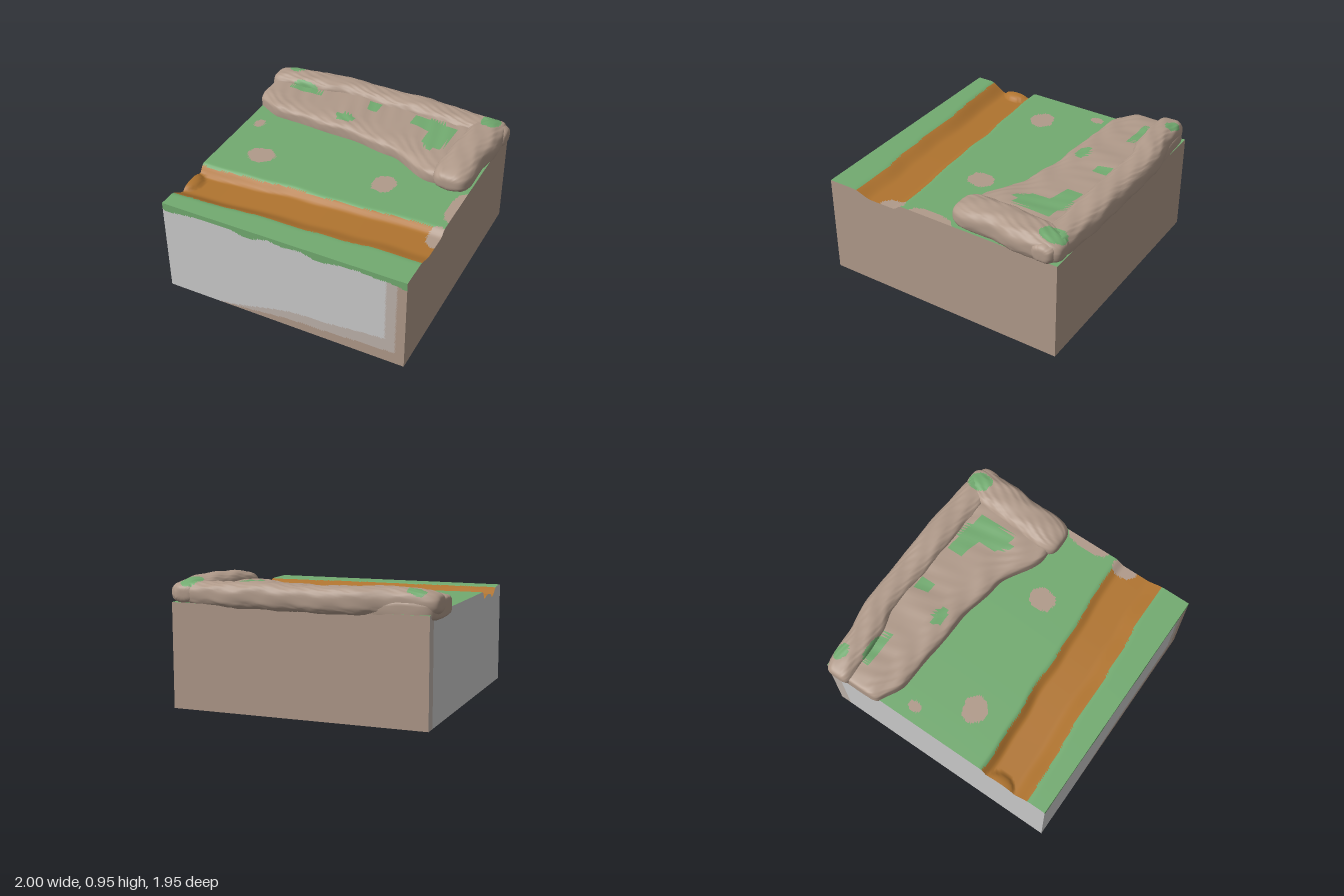
import * as THREE from 'three';

const GREY = 0xcccccc, EARTH = 0xb09a8a, MIXED = 0xbeb3ab, GRASS = 0x72ab70, CLAY = 0xb0742f;
const X0 = -0.95, X1 = 0.96, Z0 = -0.93, Z1 = 0.98, TOP = 0.77;
const { lerp, smoothstep } = THREE.MathUtils;

// Smooth repeatable wobble, roughly -1..1
const wobble = (a, b) =>
  (Math.sin(a * 7.1 + b * 3.3) + Math.sin(a * 13.7 - b * 9.1 + 1.3) * 0.6 + Math.sin(b * 21 + a * 17 + 2.1) * 0.4) / 2;

// Is (x, z) inside any of the ragged ellipses [cx, cz, rx, rz]?
const inSpots = (spots, x, z) => spots.some(([cx, cz, rx, rz]) =>
  Math.hypot((x - cx) / rx, (z - cz) / rz) < 1 + 0.12 * wobble(x * 3, z * 3));

// Piecewise-linear lookup in a short list of [x, value]
function along(points, x) {
  let i = 1;
  while (i < points.length - 1 && x > points[i][0]) i++;
  const [a, b] = [points[i - 1], points[i]];
  const t = THREE.MathUtils.clamp((x - a[0]) / (b[0] - a[0]), 0, 1);
  return lerp(a[1], b[1], t * t * (3 - 2 * t));
}

// Parametric sheet, front side towards dP/du x dP/dv
function sheet(nu, nv, point) {
  const position = [], index = [], row = nu + 1;
  for (let j = 0; j <= nv; j++)
    for (let i = 0; i <= nu; i++) position.push(...point(i / nu, j / nv));
  for (let j = 0; j < nv; j++)
    for (let i = 0; i < nu; i++) {
      const a = j * row + i, c = a + row;
      index.push(a, a + 1, c, a + 1, c + 1, c);
    }
  const g = new THREE.BufferGeometry();
  g.setAttribute('position', new THREE.Float32BufferAttribute(position, 3));
  g.setIndex(index);
  g.computeVertexNormals();
  return g;
}

// Splits a sheet into one mesh per colour; pick(x, y, z) returns [name, color]
function paint(geometry, pick) {
  const group = new THREE.Group(), p = geometry.attributes.position, idx = geometry.index.array;
  const parts = new Map();
  for (let i = 0; i < idx.length; i += 3) {
    const t = [idx[i], idx[i + 1], idx[i + 2]];
    const mean = (get) => t.reduce((s, k) => s + p[get](k), 0) / 3;
    const [name, color] = pick(mean('getX'), mean('getY'), mean('getZ'));
    if (!parts.has(name)) parts.set(name, { color, index: [] });
    parts.get(name).index.push(...t);
  }
  for (const [name, { color, index }] of parts) {
    const g = new THREE.BufferGeometry();
    g.setAttribute('position', p);
    g.setAttribute('normal', geometry.attributes.normal);
    g.setIndex(index);
    const mesh = new THREE.Mesh(g, new THREE.MeshStandardMaterial({ color }));
    mesh.name = name;
    group.add(mesh);
  }
  return group;
}

// Stream bed running across the ground, deeper towards -x
const bankBack = (x) => 0.4 - 0.05 * x + 0.012 * wobble(x, 0);
const bankFront = (x) => 0.785 - 0.05 * x + 0.012 * wobble(x, 2);
function groundHeight(x, z) {
  const depth = lerp(0.075, 0.042, smoothstep(x, X0, 0.4));
  const inside = smoothstep(z, bankBack(x) - 0.02, bankBack(x) + 0.06)
    * (1 - smoothstep(z, bankFront(x) - 0.13, bankFront(x) + 0.03));
  const r = Math.hypot((x - X0) / 0.08, (z - 0.6) / 0.11);
  const lump = r < 1 ? 0.04 * Math.sqrt(1 - r * r) : 0;
  return TOP - depth * inside + lump;
}

const BARE = [[-0.62, 0.15, 0.11, 0.09], [0.37, 0.07, 0.09, 0.1], [-0.84, -0.22, 0.04, 0.06],
  [0.97, 0.1, 0.08, 0.19], [0.93, 0.43, 0.07, 0.1]];
const MOSS = [[-0.84, -0.86, 0.07, 0.05], [-0.67, -0.67, 0.14, 0.06], [-0.07, -0.7, 0.06, 0.05],
  [-0.2, -0.45, 0.08, 0.05], [0.43, -0.65, 0.19, 0.07], [0.54, -0.53, 0.1, 0.17], [0.85, -0.83, 0.08, 0.1]];

const pickGround = (x, y, z) => {
  if (inSpots(BARE, x, z)) return ['bareEarth', EARTH];
  if (z > bankBack(x) && z < bankFront(x)) return ['streamBed', CLAY];
  return ['grass', GRASS];
};
const pickRock = (x, y, z) =>
  y > 0.84 && inSpots(MOSS, x, z) ? ['moss', GRASS] : ['rock', EARTH];
const pickFront = (x, y) => {
  if (y > 0.725 + 0.025 * wobble(x * 1.5, 0.4)) return ['grassFringe', GRASS];
  const rise = along([[-0.6, 0], [0.2, 0.2], [0.85, 0.27]], x);
  if (x > 0.89 || y < rise * 0.35) return ['frontEarth', EARTH];
  if (x > 0.81 || y < rise * 0.75) return ['frontBlend', MIXED];
  return ['frontWall', GREY];
};

// Rounded stone loaf: lays its length along x or z, with rounded ends.
// side(a) gives the two edges across, top(a) the crest height.
function loaf({ axis, from, to, side, top, bottom, endPower, power, rough }) {
  return sheet(110, 56, (u, v) => {
    const t = -Math.cos(u * Math.PI);
    const a = lerp(from, to, (t + 1) / 2);
    const end = Math.pow(Math.max(0, 1 - Math.pow(Math.abs(t), endPower)), 1 / endPower);
    const angle = (v - 0.25) * Math.PI * 2;
    const curve = (f) => Math.sign(f) * Math.pow(Math.abs(f), 2 / power);
    const [lo, hi] = side(a);
    const bump = 1 + rough * end * wobble(a * 2 + Math.cos(angle), Math.sin(angle) + a);
    const across = curve(Math.cos(angle)) * (hi - lo) / 2 * lerp(end, 1, 0.15 * end) * bump;
    const mid = (lo + hi) / 2, high = top(a);
    const y = (high + bottom) / 2 + curve(Math.sin(angle)) * (high - bottom) / 2 * end
      + 0.006 * end * wobble(a * 3, Math.cos(angle) * 2);
    return axis === 'x' ? [a, y, mid + across] : [mid - across, y, a];
  });
}

export function createModel() {
  const model = new THREE.Group();
  const add = (name, geometry, pick) => {
    const part = paint(geometry, pick);
    part.name = name;
    model.add(part);
  };
  const X = (t) => lerp(X0, X1, t), Z = (t) => lerp(Z0, Z1, t);

  // Ground and the block under it
  add('ground', sheet(130, 110, (u, v) => [X(v), groundHeight(X(v), Z(u)), Z(u)]), pickGround);
  add('front', sheet(120, 60, (u, v) => [X(u), v * groundHeight(X(u), Z1), Z1]), pickFront);
  add('back', sheet(1, 1, (u, v) => [X(v), u * TOP, Z0]), () => ['backWall', EARTH]);
  add('rightEnd', sheet(1, 130, (u, v) => [X1, u * groundHeight(X1, Z(v)), Z(v)]), () => ['plusXWall', EARTH]);
  add('leftEnd', sheet(130, 1, (u, v) => [X0, v * groundHeight(X0, Z(u)), Z(u)]),
    (x, y, z) => (z < -0.84 ? ['minusXBlend', MIXED] : ['minusXWall', GREY]));
  add('underside', sheet(1, 1, (u, v) => [X(u), 0, Z(v)]), () => ['base', GREY]);

  // Low rock shelf
  const shelfFront = [[-0.95, -0.42], [-0.75, -0.36], [-0.1, -0.33], [0.25, -0.27], [0.65, -0.1], [0.9, -0.1]];
  add('rockShelf', loaf({
    axis: 'x', from: -0.975, to: 0.93, bottom: 0.71, endPower: 9, power: 4.5, rough: 0.012,
    side: (x) => [-0.93, along(shelfFront, x)],
    top: (x) => 0.878 + 0.006 * wobble(x, 1),
  }), pickRock);

  // Tall ridge along the back
  const ridgeBack = [[-1, -0.93], [-0.7, -0.925], [-0.4, -0.97], [0.4, -0.965], [0.7, -0.95], [1, -0.93]];
  const ridgeFront = [[-1, -0.66], [-0.8, -0.69], [-0.55, -0.71], [-0.35, -0.76], [0.1, -0.74], [0.7, -0.72], [1, -0.7]];
  add('backRidge', loaf({
    axis: 'x', from: -1, to: 0.995, bottom: 0.735, endPower: 5, power: 2.7, rough: 0.03,
    side: (x) => [along(ridgeBack, x), along(ridgeFront, x)],
    top: (x) => along([[-1, 0.935], [-0.7, 0.942], [0, 0.925], [0.25, 0.935], [0.6, 0.92], [1, 0.93]], x),
  }), pickRock);

  // Arm reaching forward along the +x side
  add('sideRidge', loaf({
    axis: 'z', from: -0.94, to: -0.05, bottom: 0.73, endPower: 3.6, power: 2.7, rough: 0.03,
    side: (z) => [along([[-0.94, 0.74], [-0.7, 0.7], [-0.4, 0.68], [-0.05, 0.64]], z),
      along([[-0.94, 0.99], [-0.6, 0.985], [-0.4, 0.955], [-0.05, 0.975]], z)],
    top: (z) => along([[-0.94, 0.935], [-0.5, 0.945], [-0.05, 0.935]], z),
  }), pickRock);

  return model;
}
